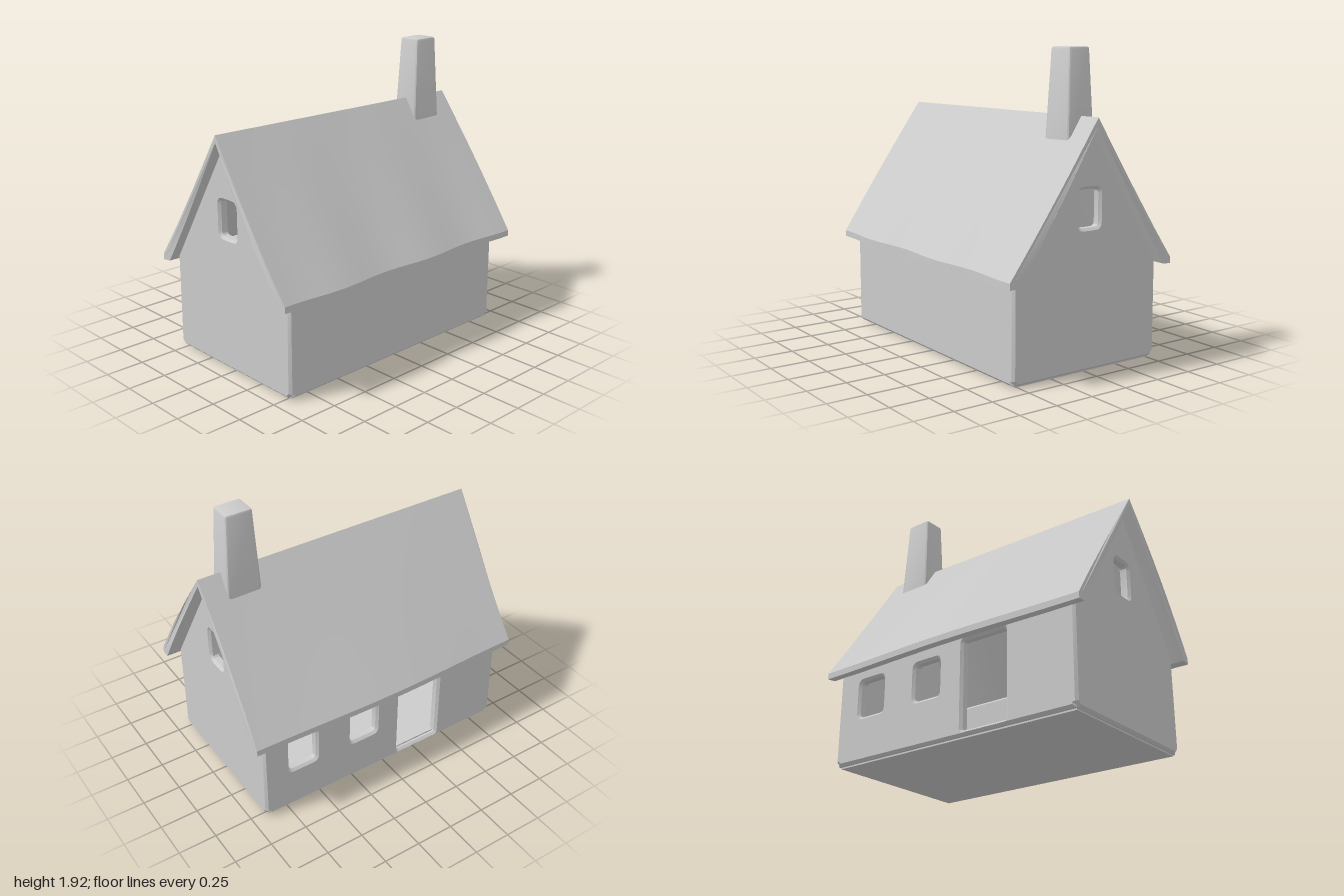
import * as THREE from 'three';
import { toCreasedNormals } from 'three/addons/utils/BufferGeometryUtils.js';
import { RoundedBoxGeometry } from 'three/addons/geometries/RoundedBoxGeometry.js';

const material = new THREE.MeshStandardMaterial({ color: 0xcccccc, side: THREE.DoubleSide });
const WALL = 0.07, BEVEL = 0.016;

function polygon(points) {
  return new THREE.Shape(points.map(([x, y]) => new THREE.Vector2(x, y)));
}

// Rectangular opening with softened corners
function opening(x0, x1, y0, y1, r = 0.03) {
  const p = new THREE.Path();
  p.moveTo(x0 + r, y0);
  p.lineTo(x1 - r, y0);
  p.quadraticCurveTo(x1, y0, x1, y0 + r);
  p.lineTo(x1, y1 - r);
  p.quadraticCurveTo(x1, y1, x1 - r, y1);
  p.lineTo(x0 + r, y1);
  p.quadraticCurveTo(x0, y1, x0, y1 - r);
  p.lineTo(x0, y0 + r);
  p.quadraticCurveTo(x0, y0, x0 + r, y0);
  return p;
}

// Slab with chamfered edges, centred on its own thickness
function slab(shape) {
  const geo = new THREE.ExtrudeGeometry(shape, {
    depth: WALL - 2 * BEVEL, bevelEnabled: true, bevelThickness: BEVEL,
    bevelSize: BEVEL, bevelOffset: -BEVEL, bevelSegments: 1, curveSegments: 3,
  });
  return geo.translate(0, 0, BEVEL - WALL / 2);
}

function add(group, name, geo) {
  const mesh = new THREE.Mesh(toCreasedNormals(geo, 0.5), material);
  mesh.name = name;
  group.add(mesh);
  return mesh;
}

function roofGeometry() {
  // Half section from ridge to eave and back underneath, mirrored
  const outer = [], inner = [], n = 8;
  for (let i = 0; i <= n; i++) {
    const t = i / n;
    outer.push([0.615 * t, 1.52 - 0.88 * t]);
    inner.push([0.555 * t, 1.475 - 0.87 * t]);
  }
  const mirror = (list) => list.slice(1).map(([x, y]) => [-x, y]);
  const section = [
    ...outer, [0.615, 0.6], ...inner.reverse(),
    ...mirror(inner.slice().reverse()), [-0.615, 0.6], ...mirror(outer).reverse(),
  ];
  const geo = new THREE.ExtrudeGeometry(polygon(section), { depth: 2, steps: 24, bevelEnabled: false });
  geo.translate(0, 0, -1);
  // Gentle hand-made waviness of eaves and gable ends
  const pos = geo.attributes.position;
  for (let i = 0; i < pos.count; i++) {
    const x = pos.getX(i), z = pos.getZ(i);
    const wave = x > 0 ? 0.02 * Math.cos(8.2 * (z + 0.2)) : 0.02 * Math.cos(3 * z) - 0.005;
    pos.setX(i, x * (1 + wave));
    pos.setZ(i, z * (0.985 + 0.014 * Math.sin(4.5 * x)));
  }
  return geo;
}

function chimneyGeometry() {
  const h = 0.56, top = 1.92;
  const geo = new RoundedBoxGeometry(0.15, h, 0.176, 1, 0.014);
  geo.translate(0, top - h / 2, 0);
  // Taper towards the top
  const pos = geo.attributes.position;
  for (let i = 0; i < pos.count; i++) {
    const k = 1 + 0.55 * (top - pos.getY(i));
    pos.setX(i, pos.getX(i) * k);
    pos.setZ(i, pos.getZ(i) * k);
  }
  return geo.translate(0, 0, -0.725);
}

export function createModel() {
  const house = new THREE.Group();
  house.name = 'house';

  // Gable walls, each with an attic window
  for (const side of [1, -1]) {
    const gable = polygon([
      [-0.515, 0.01], [0.515, 0.01], [0.545, 0.04], [0.545, 0.65],
      [0, 1.5], [-0.545, 0.65], [-0.545, 0.04],
    ]);
    gable.holes.push(opening(-0.085, 0.07, 0.87, 1.1));
    const mesh = add(house, side > 0 ? 'frontGable' : 'backGable', slab(gable));
    mesh.position.z = side * (0.91 - WALL / 2);
  }

  // Side walls; the right one has two windows and the doorway
  for (const side of [1, -1]) {
    const wall = polygon([[-0.892, 0.01], [0.892, 0.01], [0.892, 0.66], [-0.892, 0.66]]);
    if (side < 0) {
      wall.holes.push(opening(-0.73, -0.53, 0.3, 0.54));
      wall.holes.push(opening(-0.27, -0.07, 0.3, 0.54));
      wall.holes.push(opening(0.11, 0.43, 0.04, 0.6, 0.015));
    }
    const mesh = add(house, side > 0 ? 'leftWall' : 'rightWall', slab(wall));
    mesh.rotation.y = -Math.PI / 2;
    mesh.position.x = side * (0.545 - WALL / 2);
  }

  const floor = new THREE.BoxGeometry(1.03, 0.05, 1.77);
  add(house, 'floor', floor.translate(0, 0.025, 0));
  add(house, 'roof', roofGeometry());
  add(house, 'chimney', chimneyGeometry());
  return house;
}
